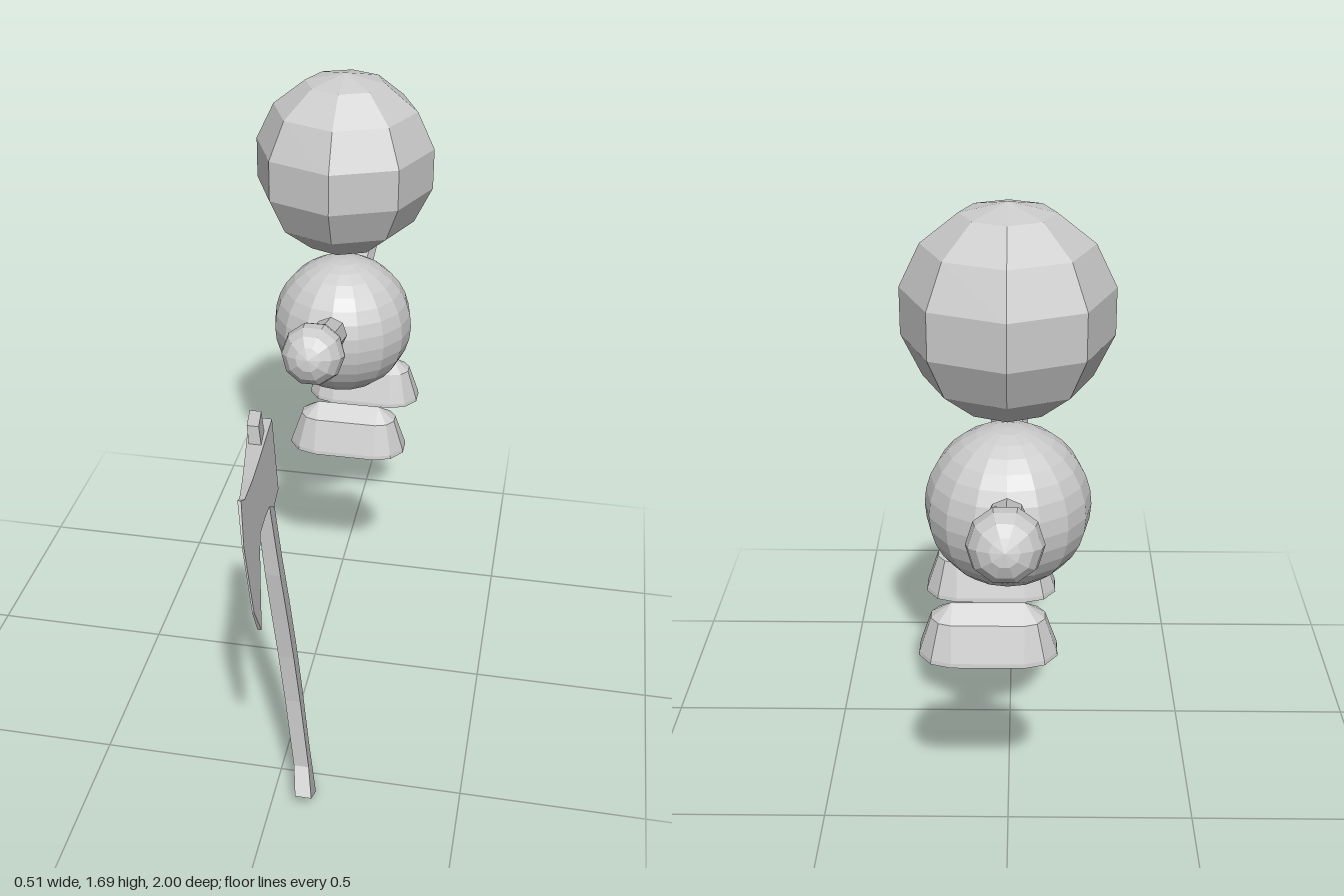
import * as THREE from 'three';

const material = new THREE.MeshStandardMaterial({ color: 0xcccccc, flatShading: true });

function part(parent, name, geometry, x = 0, y = 0, z = 0) {
  const mesh = new THREE.Mesh(geometry, material);
  mesh.name = name;
  mesh.position.set(x, y, z);
  parent.add(mesh);
  return mesh;
}

// Skin over rings of points, listed bottom to top, each counter-clockwise from above
function loft(rings) {
  const n = rings[0].length, top = (rings.length - 1) * n, index = [];
  for (let i = 0; i < rings.length - 1; i++) {
    for (let j = 0; j < n; j++) {
      const a = i * n + j, b = i * n + (j + 1) % n;
      index.push(a, b, b + n, a, b + n, a + n);
    }
  }
  for (let j = 1; j < n - 1; j++) index.push(0, j + 1, j, top, top + j, top + j + 1);
  const geometry = new THREE.BufferGeometry();
  geometry.setAttribute('position', new THREE.Float32BufferAttribute(rings.flat(2), 3));
  geometry.setIndex(index);
  geometry.computeVertexNormals();
  return geometry;
}

// Loaf-shaped foot: stadium rings shrinking to a ridge
function footGeometry() {
  const sections = [[0, 1], [0.08, 0.98], [0.75, 0.62], [1, 0.03]]; // height, radius
  return loft(sections.map(([h, r]) => {
    const ring = [];
    for (const side of [1, -1]) {
      for (let k = 0; k <= 5; k++) {
        const a = -Math.PI / 2 + k * Math.PI / 5;
        ring.push([side * (0.089 + 0.086 * r * Math.cos(a)), 0.133 * h, -side * 0.086 * r * Math.sin(a)]);
      }
    }
    return ring;
  }));
}

// Sideways lean and turn shared by the axe parts
const axeX = (y, z) => 0.094 - 0.1 * y + 0.14 * (z - 0.6);

function handleGeometry() {
  // back z, back y, front z, front y, half thickness
  const sections = [
    [0.567, 0.005, 0.668, 0.08, 0.022], [0.561, 0.18, 0.626, 0.15, 0.02],
    [0.551, 0.36, 0.62, 0.37, 0.02], [0.555, 0.5, 0.628, 0.52, 0.02],
    [0.572, 0.66, 0.642, 0.65, 0.02], [0.592, 0.81, 0.66, 0.8, 0.019],
    [0.594, 0.98, 0.668, 0.99, 0.017], [0.58, 1.21, 0.652, 1.212, 0.014],
  ];
  return loft(sections.map(([zb, yb, zf, yf, h]) => [
    [axeX(yb, zb) + h, yb, zb], [axeX(yb, zb) - h, yb, zb],
    [axeX(yf, zf) - h, yf, zf], [axeX(yf, zf) + h, yf, zf],
  ]));
}

// Bearded blade: flat outline thinned towards the cutting edge
function bladeGeometry() {
  const outline = [
    [0.519, 1.155], [0.551, 0.979], [0.635, 0.982], [0.684, 1.016], [0.75, 1.03], [0.818, 1.037],
    [0.85, 1.01], [0.888, 0.957], [0.947, 0.866], [0.995, 0.952], [1, 1.128],
    [0.963, 1.219], [0.925, 1.198], [0.82, 1.18], [0.727, 1.171],
  ].map(([z, y]) => new THREE.Vector2(z, y));
  const geometry = new THREE.ExtrudeGeometry(new THREE.Shape(outline), { depth: 2, bevelEnabled: false });
  geometry.translate(0, 0, -1).rotateY(-Math.PI / 2);
  const p = geometry.attributes.position;
  for (let i = 0; i < p.count; i++) {
    const y = p.getY(i), z = p.getZ(i);
    p.setX(i, axeX(y, z) + p.getX(i) * (0.002 + 0.054 * (1 - z)));
  }
  geometry.computeVertexNormals();
  return geometry;
}

export function createModel() {
  const model = new THREE.Group();
  model.name = 'figureWithAxe';

  const figure = new THREE.Group();
  figure.name = 'figure';
  figure.position.z = -0.443;
  model.add(figure);

  part(figure, 'head', new THREE.SphereGeometry(0.261, 8, 7), 0, 1.437, 0);
  part(figure, 'body', new THREE.SphereGeometry(0.207, 16, 16), 0, 0.933, 0);

  // Arms, hands and feet on both sides
  for (const side of [1, -1]) {
    const inner = new THREE.Vector3(0, 1.0, side * 0.213);
    const outer = new THREE.Vector3(0, 1.071, side * 0.47);
    const along = outer.clone().sub(inner);
    const turn = new THREE.Quaternion().setFromUnitVectors(new THREE.Vector3(0, 1, 0), along.clone().normalize());
    const mid = inner.clone().lerp(outer, 0.5);
    part(figure, 'arm', new THREE.CylinderGeometry(0.049, 0.049, along.length(), 8), ...mid).quaternion.copy(turn);
    part(figure, 'hand', new THREE.SphereGeometry(0.087, 10, 8), ...outer).quaternion.copy(turn);
    part(figure, 'foot', footGeometry(), 0.047, 0.605, side * 0.156);
  }

  const axe = new THREE.Group();
  axe.name = 'axe';
  model.add(axe);
  part(axe, 'axeHandle', handleGeometry());
  part(axe, 'axeBlade', bladeGeometry());

  return model;
}
